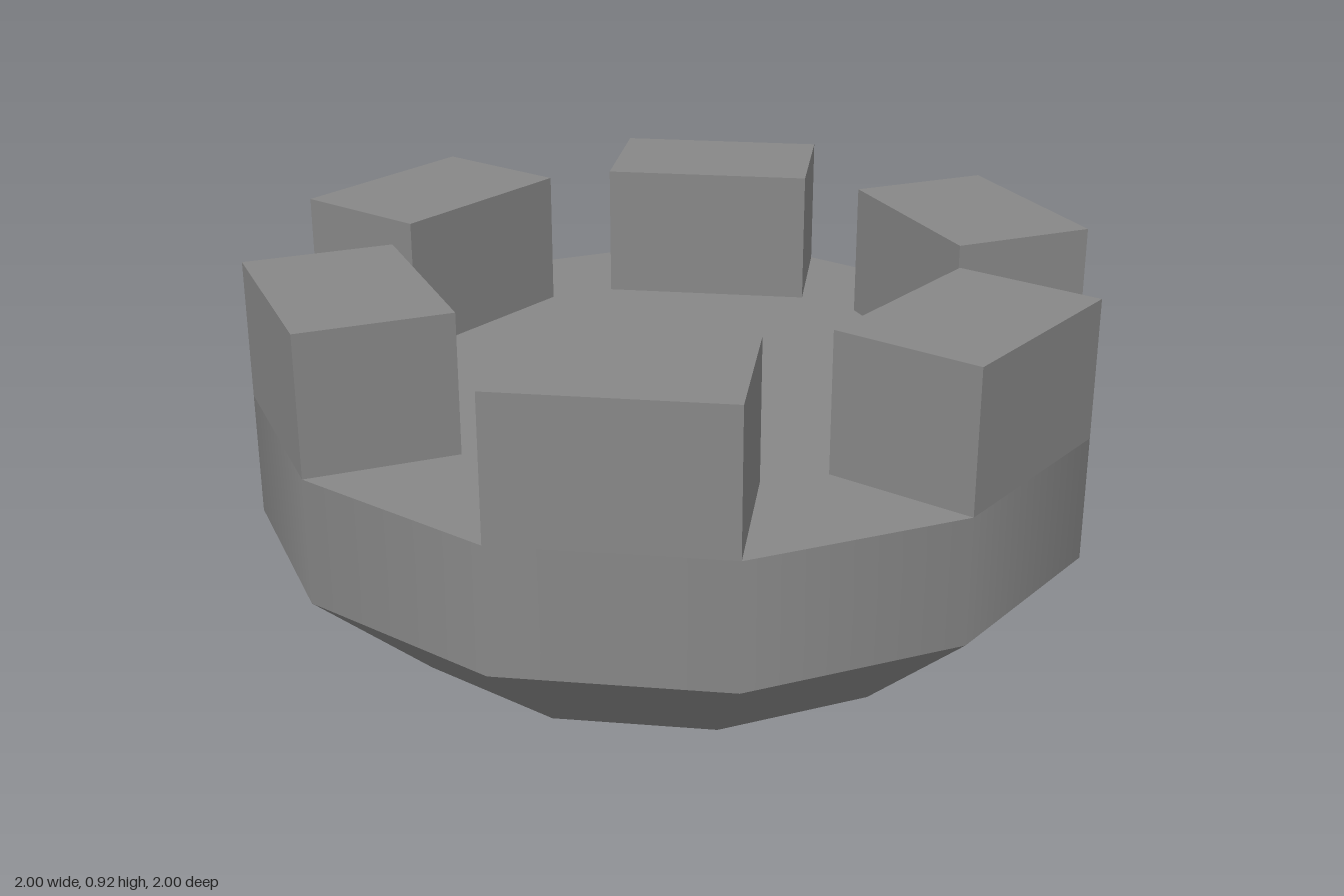
import * as THREE from 'three';

const SIDES = 12;
const HALF = Math.PI / SIDES;       // half a facet, so flats face +-z and +-x
const RIM = 1, FOOT = 0.71;         // distances from the axis to the flats
const Y_CHAMFER = 0.27, Y_DECK = 0.577, Y_TOP = 0.917;
const corner = (apothem) => apothem / Math.cos(HALF);

export function createModel() {
  const model = new THREE.Group();
  const material = new THREE.MeshStandardMaterial({ color: 0x878787 });

  const add = (name, geometry) => {
    const mesh = new THREE.Mesh(geometry, material);
    mesh.name = name;
    model.add(mesh);
    return mesh;
  };

  // Twelve-sided band with smooth normals around it
  const band = (name, top, bottom, y0, y1) => {
    const geometry = new THREE.CylinderGeometry(
      corner(top), corner(bottom), y1 - y0, SIDES, 1, true, HALF);
    add(name, geometry.translate(0, (y0 + y1) / 2, 0));
  };

  // Flat twelve-sided cap facing up or down
  const cap = (name, apothem, y, up) => {
    const geometry = new THREE.CircleGeometry(corner(apothem), SIDES, HALF);
    add(name, geometry.rotateX(up ? -Math.PI / 2 : Math.PI / 2).translate(0, y, 0));
  };

  // Body: chamfered foot, upright wall, deck
  cap('base', FOOT, 0, false);
  band('chamfer', RIM, FOOT, 0, Y_CHAMFER);
  band('wall', RIM, RIM, Y_CHAMFER, Y_DECK);
  cap('deck', RIM, Y_DECK, true);

  // Six battlement blocks, one on every other facet; the front one is a bit deeper
  const width = 2 * RIM * Math.tan(HALF);
  for (let i = 0; i < 6; i++) {
    const inner = i === 0 ? 0.61 : 0.635;
    const geometry = new THREE.BoxGeometry(width, Y_TOP - Y_DECK, RIM - inner);
    geometry.translate(0, (Y_DECK + Y_TOP) / 2, (RIM + inner) / 2);
    add('battlement' + (i + 1), geometry).rotation.y = i * Math.PI / 3;
  }

  return model;
}
